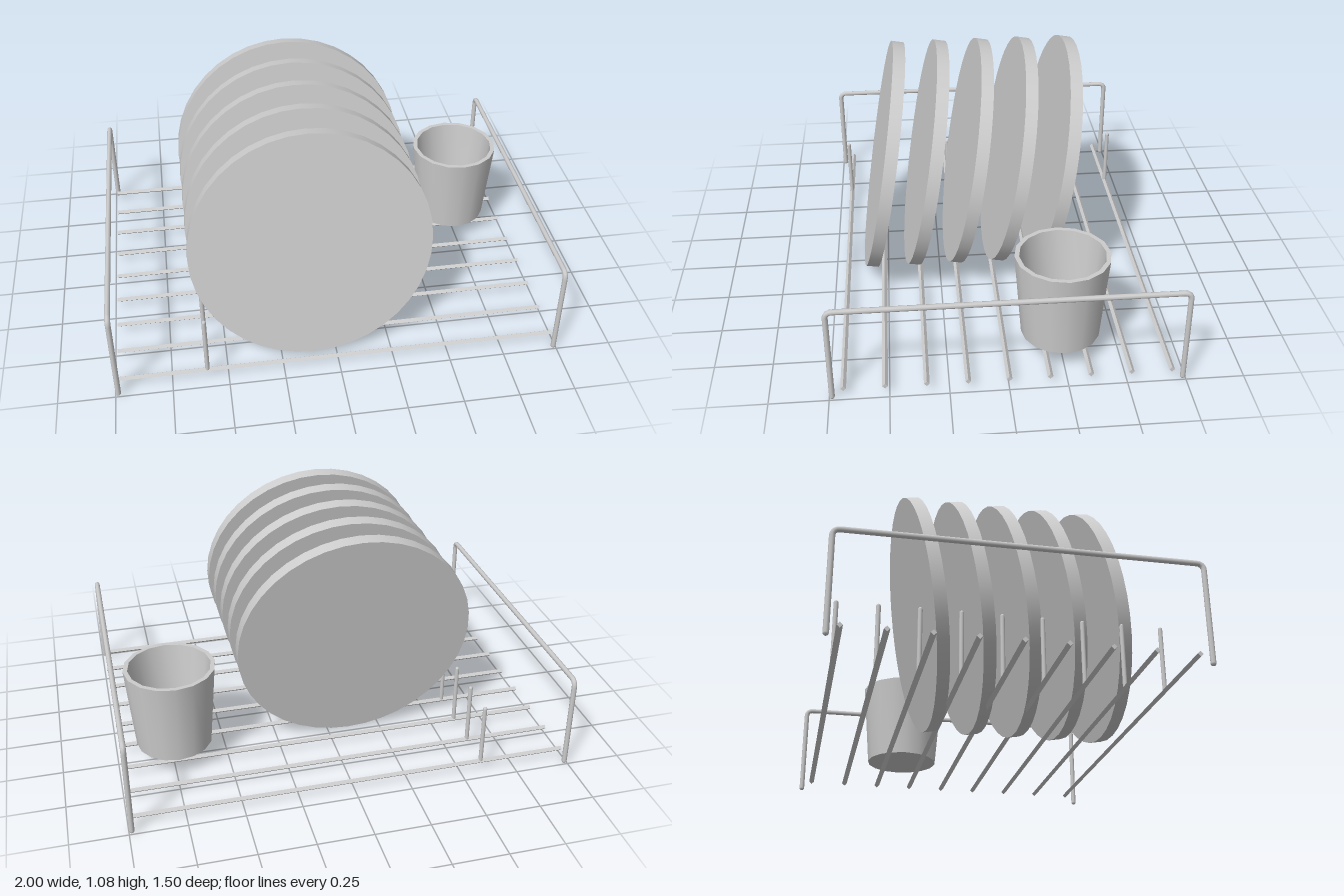
import * as THREE from 'three';
import { toCreasedNormals } from 'three/addons/utils/BufferGeometryUtils.js';

export function createModel() {
  const model = new THREE.Group();
  model.name = 'dishRack';
  const grey = new THREE.MeshStandardMaterial({ color: 0xcccccc });
  grey.name = 'light grey';

  function add(name, geometry, x, y, z, parent = model) {
    const mesh = new THREE.Mesh(geometry, grey);
    mesh.name = name;
    mesh.position.set(x, y, z);
    parent.add(mesh);
    return mesh;
  }

  // Side frames: bent rods with rounded upper corners and rounded feet
  const rod = 0.012, top = 0.443, half = 0.738, bend = 0.03, foot = 0.012;
  const v = (y, z) => new THREE.Vector3(0, y, z);
  const path = new THREE.CurvePath();
  path.add(new THREE.LineCurve3(v(foot, half), v(top - bend, half)));
  path.add(new THREE.QuadraticBezierCurve3(v(top - bend, half), v(top, half), v(top, half - bend)));
  path.add(new THREE.LineCurve3(v(top, half - bend), v(top, bend - half)));
  path.add(new THREE.QuadraticBezierCurve3(v(top, bend - half), v(top, -half), v(top - bend, -half)));
  path.add(new THREE.LineCurve3(v(top - bend, -half), v(foot, -half)));
  const frameGeo = new THREE.TubeGeometry(path, 180, rod, 8, false);
  const footGeo = new THREE.SphereGeometry(rod, 8, 6);
  for (const side of [-1, 1]) {
    const frame = new THREE.Group();
    frame.name = side > 0 ? 'leftFrame' : 'rightFrame';
    frame.position.x = side * 0.988;
    model.add(frame);
    add('frameRod', frameGeo, 0, 0, 0, frame);
    for (const z of [-half, half]) add('foot', footGeo, 0, foot, z, frame);
  }

  // Floor wires, each with an upright peg
  const wireGeo = toCreasedNormals(new THREE.CylinderGeometry(0.012, 0.012, 1.976, 4).rotateZ(Math.PI / 2), 0.6);
  const pegGeo = new THREE.CapsuleGeometry(0.01, 0.28, 3, 8);
  for (let i = -4; i <= 4; i++) {
    const z = i * 0.1725;
    add('floorWire', wireGeo, 0, 0.048, z);
    add('peg', pegGeo, -0.593, 0.19, z);
  }

  // Leaning plates
  const plateGeo = new THREE.CylinderGeometry(0.54, 0.54, 0.056, 40).rotateX(Math.PI / 2 - Math.PI / 18);
  for (let i = 0; i < 5; i++) add('plate', plateGeo, -0.1, 0.544, 0.496 - i * 0.1975);

  // Hollow tapered cup
  const profile = [[0, 0], [0.172, 0], [0.205, 0.39], [0.185, 0.39], [0.149, 0.025], [0, 0.025]]
    .map(([r, y]) => new THREE.Vector2(r, y));
  add('cup', toCreasedNormals(new THREE.LatheGeometry(profile, 16), 0.6), 0.736, 0.1, -0.247);

  return model;
}
